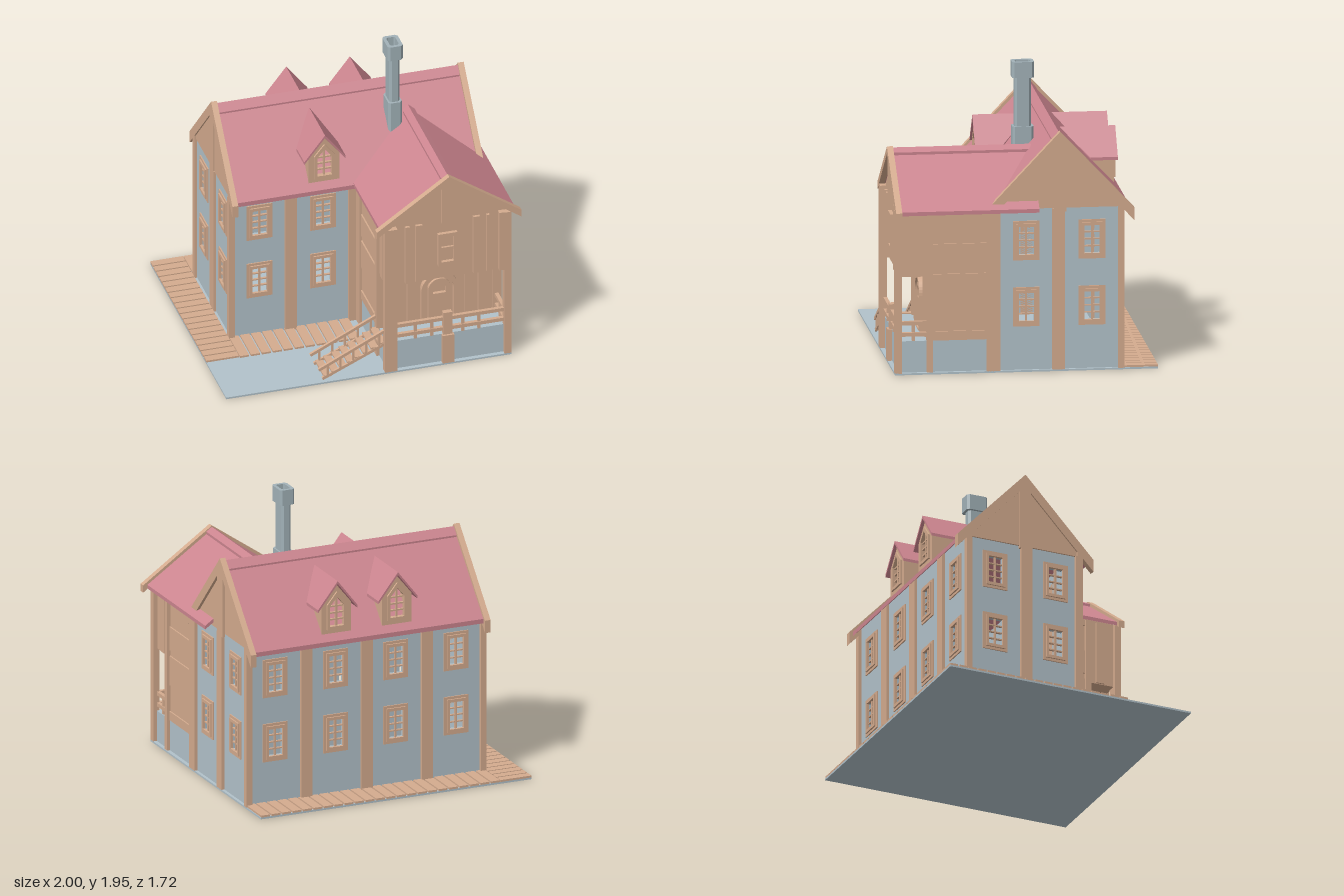
import * as THREE from 'three';

const mat = (color) => new THREE.MeshStandardMaterial({ color, flatShading: true, side: THREE.DoubleSide });

export function createModel() {
  const house = new THREE.Group();
  house.name = 'house';
  const wood = mat(0xd4ab8e), plaster = mat(0xb2c2ca), tile = mat(0xcc858f), stone = mat(0xa2b2b8);

  const add = (parent, name, geo, m) => {
    const mesh = new THREE.Mesh(geo, m);
    mesh.name = name;
    parent.add(mesh);
    return mesh;
  };
  // box given by its limits on each axis
  const box = (parent, name, m, x0, x1, y0, y1, z0, z1) => {
    const mesh = add(parent, name, new THREE.BoxGeometry(x1 - x0, y1 - y0, z1 - z0), m);
    mesh.position.set((x0 + x1) / 2, (y0 + y1) / 2, (z0 + z1) / 2);
    return mesh;
  };
  const poly = (pts) => new THREE.Shape(pts.map((p) => new THREE.Vector2(p[0], p[1])));
  const rect = (cx, cy, w, h) => poly([[cx - w / 2, cy - h / 2], [cx + w / 2, cy - h / 2], [cx + w / 2, cy + h / 2], [cx - w / 2, cy + h / 2]]);
  const extrude = (shape, depth) => new THREE.ExtrudeGeometry(shape, { depth, bevelEnabled: false, curveSegments: 10 });
  const ring = (w, h, w2, h2, depth) => {
    const s = rect(0, 0, w, h);
    s.holes.push(rect(0, 0, w2, h2));
    return extrude(s, depth);
  };
  // inverted V: half width, eave height, ridge height, vertical thickness
  const chevron = (hw, ye, yr, t, depth) =>
    extrude(poly([[-hw, ye], [-hw, ye - t], [0, yr - t], [hw, ye - t], [hw, ye], [0, yr]]), depth);
  const bar = (parent, name, m, a, b, thick, wide) => {
    const mesh = add(parent, name, new THREE.BoxGeometry(Math.hypot(b[0] - a[0], b[1] - a[1]), thick, wide), m);
    mesh.position.set((a[0] + b[0]) / 2, (a[1] + b[1]) / 2, a[2]);
    mesh.rotation.z = Math.atan2(b[1] - a[1], b[0] - a[0]);
  };

  // Ground slab and boardwalk
  box(house, 'groundSlab', plaster, -1, 0.93, 0, 0.012, -0.86, 0.86);
  for (let i = 0; i < 19; i++) {
    const z = -0.86 + i * 0.0675;
    box(house, 'leftWalkBoard', wood, -1, -0.78, 0.012, 0.025, z, z + 0.056);
  }
  for (let i = 0; i < 23; i++) {
    const x = -0.775 + i * 0.0745;
    box(house, 'backWalkBoard', wood, x, x + 0.062, 0.012, 0.025, -0.86, -0.62);
    if (i < 11) box(house, 'frontWalkBoard', wood, x, x + 0.062, 0.012, 0.025, 0.16, 0.42);
  }

  // Framed window, open between the bars
  const addWindow = (parent, x, y) => {
    const w = new THREE.Group();
    w.name = 'window';
    add(w, 'windowSurround', ring(0.175, 0.26, 0.1, 0.19, 0.008), wood);
    add(w, 'windowFrame', ring(0.135, 0.225, 0.1, 0.185, 0.018), wood);
    box(w, 'mullion', wood, -0.006, 0.006, -0.093, 0.093, -0.012, 0.006);
    for (const v of [-0.047, 0, 0.047]) box(w, 'glazingBar', wood, -0.05, 0.05, v - 0.004, v + 0.004, -0.012, 0.004);
    w.position.set(x, y, 0);
    parent.add(w);
  };
  // Wall facing local +z with two storeys of windows and vertical posts
  const addWall = (name, u0, u1, h, wins, posts, pos, turn) => {
    const g = new THREE.Group();
    g.name = name;
    const s = poly([[u0, 0.01], [u1, 0.01], [u1, h], [u0, h]]);
    for (const u of wins) for (const y of [0.43, 0.87]) {
      s.holes.push(rect(u, y, 0.1, 0.187));
      addWindow(g, u, y);
    }
    add(g, 'plaster', extrude(s, 0.02), plaster).position.z = -0.02;
    for (const [a, b] of posts) box(g, 'timberPost', wood, a, b, 0.01, h, -0.02, 0.02);
    g.position.set(...pos);
    g.rotation.y = turn;
    house.add(g);
    return g;
  };
  addWall('frontWall', -0.76, 0.91, 1.11, [-0.57, -0.14], [[-0.78, -0.74], [-0.4, -0.32], [0.03, 0.1]], [0, 0, 0.17], 0);
  addWall('backWall', -0.91, 0.76, 1.11, [-0.72, -0.29, 0.14, 0.57],
    [[-0.93, -0.89], [-0.54, -0.46], [-0.11, -0.03], [0.32, 0.4], [0.74, 0.78]], [0, 0, -0.62], Math.PI);
  addWall('rightWall', -0.17, 0.62, 1.08, [0, 0.43], [[-0.26, -0.17], [0.17, 0.25], [0.6, 0.64]], [0.91, 0, 0], Math.PI / 2);
  addWall('leftWall', -0.62, 0.17, 1.08, [0, -0.43], [[0.14, 0.19], [-0.25, -0.17], [-0.64, -0.6]], [-0.76, 0, 0], -Math.PI / 2);

  // Main roof and gables, running along x with the ridge at z = -0.22
  const alongX = (name, geo, m, x) => {
    const mesh = add(house, name, geo, m);
    mesh.rotation.y = Math.PI / 2;
    mesh.position.set(x, 0, -0.22);
  };
  alongX('mainRoof', chevron(0.46, 1.08, 1.56, 0.03, 1.64), tile, -0.74);
  alongX('ridgeCap', chevron(0.045, 1.525, 1.573, 0.03, 1.63), tile, -0.74);
  for (const [x, px] of [[-0.77, -0.78], [0.895, 0.89]]) {
    alongX('gable', extrude(poly([[-0.43, 1.08], [0.43, 1.08], [0, 1.54]]), 0.015), wood, x);
    alongX('bargeBoard', chevron(0.485, 1.075, 1.59, 0.085, 0.04), wood, px);
    box(house, 'gablePost', wood, px, px + 0.04, 1.06, 1.52, -0.26, -0.18);
  }

  // Dormers, front at local +z
  const addDormer = (x, z, turn) => {
    const g = new THREE.Group();
    g.name = 'dormer';
    const s = poly([[-0.105, 1.12], [0.105, 1.12], [0.105, 1.32], [0, 1.45], [-0.105, 1.32]]);
    const opening = [[-0.05, 1.17], [0.05, 1.17], [0.05, 1.31], [0, 1.37], [-0.05, 1.31]];
    s.holes.push(poly(opening));
    add(g, 'dormerFront', extrude(s, 0.02), wood).position.z = -0.04;
    const f = poly([[-0.07, 1.15], [0.07, 1.15], [0.07, 1.32], [0, 1.405], [-0.07, 1.32]]);
    f.holes.push(poly(opening));
    add(g, 'dormerFrame', extrude(f, 0.012), wood).position.z = -0.02;
    box(g, 'mullion', wood, -0.006, 0.006, 1.17, 1.365, -0.035, -0.02);
    for (const y of [1.215, 1.26, 1.305]) box(g, 'glazingBar', wood, -0.05, 0.05, y - 0.005, y + 0.005, -0.035, -0.02);
    for (const k of [-1, 1]) {
      const cheek = add(g, 'dormerCheek', extrude(poly([[0, 1.12], [0, 1.32], [-0.2, 1.32]]), 0.012), wood);
      cheek.rotation.y = -Math.PI / 2;
      cheek.position.set(k * 0.098 + 0.006, 0, -0.03);
    }
    for (const c of g.children) if (c.name === 'dormerCheek') c.geometry.scale(1, 1, 1);
    // roof whose back edge follows the main slope
    const roof = chevron(0.14, 1.3, 1.48, 0.02, 0.37);
    const p = roof.attributes.position;
    for (let i = 0; i < p.count; i++) if (p.getZ(i) < 0.1) p.setZ(i, Math.abs(p.getX(i)) / 0.14 * 0.19);
    roof.computeVertexNormals();
    add(g, 'dormerRoof', roof, tile).position.z = -0.37;
    g.position.set(x, 0, z);
    g.rotation.y = turn;
    house.add(g);
  };
  addDormer(-0.14, 0.22, 0);
  for (const x of [-0.14, 0.29]) addDormer(x, -0.66, Math.PI);

  // Chimney of chamfered blocks with a hollow pot
  const chamfer = (w, d, c) => poly([[-w + c, -d], [w - c, -d], [w, -d + c], [w, d - c], [w - c, d], [-w + c, d], [-w, d - c], [-w, -d + c]]);
  const block = (name, w, d, y0, y1, hollow) => {
    const s = chamfer(w, d, 0.015);
    if (hollow) s.holes.push(chamfer(w - 0.022, d - 0.022, 0.01));
    const mesh = add(house, name, extrude(s, y1 - y0), stone);
    mesh.rotation.x = -Math.PI / 2;
    mesh.position.set(0.395, y0, -0.04);
  };
  block('chimneyBase', 0.046, 0.07, 1.28, 1.52);
  block('chimneyShaft', 0.035, 0.055, 1.5, 1.85);
  block('chimneyTop', 0.052, 0.072, 1.845, 1.95, true);

  // Front wing: plinth, side walls, porch back wall and upper room
  box(house, 'wingPlinth', plaster, 0.1, 0.905, 0.01, 0.22, 0.17, 0.83);
  for (const [x0, x1, out] of [[0.1, 0.12, 0.09], [0.88, 0.9, 0.91]]) {
    box(house, 'wingSide', wood, x0, x1, 0.22, 1.09, 0.17, 0.63);
    box(house, 'upperSide', wood, x0, x1, 0.65, 1.09, 0.63, 0.82);
    const a = Math.min(x0, out), b = Math.max(x1, out);
    for (const [y0, y1] of [[0.22, 0.28], [0.46, 0.66], [0.86, 0.7], [1.04, 1.08]])
      box(house, 'sideBoard', wood, a, b, Math.min(y0, y1), Math.max(y0, y1), 0.25, 0.62);
    const o = out < 0.5 ? [0.08, 0.13] : [0.87, 0.925];
    for (const [z0, z1] of [[0.17, 0.26], [0.61, 0.65]]) box(house, 'sidePost', wood, ...o, 0.01, 1.08, z0, z1);
    box(house, 'upperBatten', wood, a, b, 0.65, 1.08, 0.69, 0.75);
  }
  box(house, 'porchBackWall', wood, 0.11, 0.89, 0.22, 0.66, 0.61, 0.63);
  box(house, 'upperFloor', wood, 0.1, 0.9, 0.645, 0.665, 0.2, 0.82);
  box(house, 'upperFront', wood, 0.1, 0.9, 0.65, 1.09, 0.8, 0.82);
  box(house, 'cornerPost', wood, 0.075, 0.16, 0.01, 1.09, 0.815, 0.86);
  box(house, 'cornerPost', wood, 0.885, 0.93, 0.01, 1.09, 0.815, 0.86);
  box(house, 'upperCornerPost', wood, 0.85, 0.93, 0.65, 1.09, 0.815, 0.855);
  box(house, 'plinthPost', wood, 0.465, 0.545, 0.01, 0.22, 0.815, 0.86);
  for (const [x0, x1] of [[0.22, 0.25], [0.29, 0.335], [0.68, 0.725], [0.77, 0.79]]) {
    box(house, 'upperPost', wood, x0, x1, 0.65, 1.08, 0.815, 0.84);
    box(house, 'porchPost', wood, x0, x1, 0.22, 0.65, 0.625, 0.65);
  }

  // Upper sash window
  const sash = add(house, 'sashFrame', ring(0.13, 0.24, 0.085, 0.19, 0.025), wood);
  sash.position.set(0.505, 0.87, 0.82);
  box(house, 'sashRail', wood, 0.46, 0.55, 0.86, 0.88, 0.82, 0.835);

  // Arched door
  const arch = (r, top, y0) => {
    const s = new THREE.Shape();
    s.moveTo(-r, y0);
    s.lineTo(r, y0);
    s.lineTo(r, top - r);
    s.absarc(0, top - r, r, 0, Math.PI, false);
    s.lineTo(-r, y0);
    return s;
  };
  const surround = arch(0.125, 0.58, 0.22);
  surround.holes.push(arch(0.095, 0.55, 0.23));
  const door = arch(0.075, 0.53, 0.22);
  door.holes.push(arch(0.045, 0.5, 0.42));
  for (const [name, s, d] of [['doorSurround', surround, 0.035], ['door', door, 0.025]])
    add(house, name, extrude(s, d), wood).position.set(0.505, 0, 0.63);

  // Porch railing
  for (const [y0, y1] of [[0.25, 0.275], [0.325, 0.35]]) {
    box(house, 'frontRail', wood, 0.16, 0.885, y0, y1, 0.815, 0.84);
    box(house, 'sideRail', wood, 0.88, 0.905, y0, y1, 0.65, 0.82);
  }
  box(house, 'newel', wood, 0.475, 0.535, 0.22, 0.385, 0.81, 0.845);
  for (const x of [0.29, 0.4, 0.61, 0.72]) box(house, 'baluster', wood, x - 0.01, x + 0.01, 0.22, 0.33, 0.82, 0.835);
  box(house, 'sideBaluster', wood, 0.885, 0.9, 0.22, 0.33, 0.725, 0.745);

  // Wing roof, ridge along z at x = 0.51
  const wing = (name, geo, m, z) => add(house, name, geo, m).position.set(0.51, 0, z);
  wing('wingRoof', chevron(0.46, 1.09, 1.405, 0.025, 0.91), tile, -0.08);
  wing('wingRidgeCap', chevron(0.04, 1.395, 1.422, 0.03, 0.9), tile, -0.08);
  wing('wingGable', extrude(poly([[-0.41, 1.08], [0.41, 1.08], [0, 1.39]]), 0.02), wood, 0.8);
  wing('wingBargeBoard', chevron(0.49, 1.09, 1.43, 0.05, 0.04), wood, 0.82);
  box(house, 'wingGablePost', wood, 0.465, 0.545, 1.07, 1.375, 0.815, 0.85);

  // Stairs rising to the porch
  for (let i = 0; i < 8; i++) {
    const x = -0.33 + i * 0.053, y = 0.03 + i * 0.026;
    box(house, 'stairTread', wood, x, x + 0.05, y, y + 0.012, 0.63, 0.83);
  }
  for (const z of [0.635, 0.825]) {
    bar(house, 'stringer', wood, [-0.34, 0.02, z], [0.1, 0.22, z], 0.02, 0.015);
    bar(house, 'handrail', wood, [-0.365, 0.09, z], [0.08, 0.31, z], 0.02, 0.018);
    for (let i = 0; i < 5; i++) {
      const x = -0.31 + i * 0.087, y = 0.035 + i * 0.042;
      box(house, 'stairBaluster', wood, x, x + 0.013, y, y + 0.09, z - 0.007, z + 0.007);
    }
  }
  return house;
}
